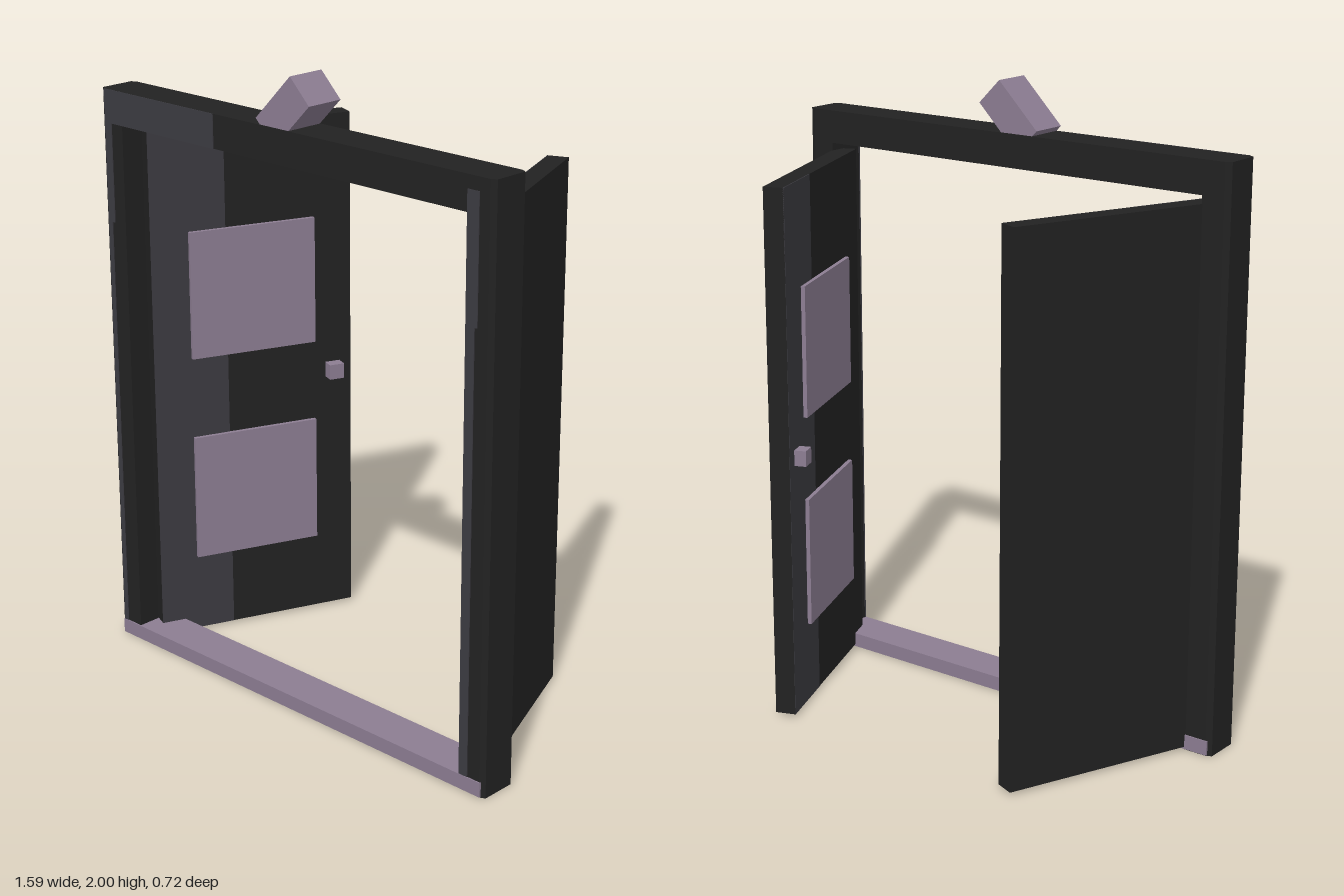
import * as THREE from 'three';

const black = new THREE.MeshStandardMaterial({ color: 0x222222 });
black.name = 'black';
const grey = new THREE.MeshStandardMaterial({ color: 0x3c3b41 });
grey.name = 'charcoal grey';
const mauve = new THREE.MeshStandardMaterial({ color: 0x8c7d92 });
mauve.name = 'dusty mauve';

// Box given by its limits on each axis
function box(parent, name, material, [x0, x1], [y0, y1], [z0, z1]) {
  const mesh = new THREE.Mesh(new THREE.BoxGeometry(x1 - x0, y1 - y0, z1 - z0), material);
  mesh.position.set((x0 + x1) / 2, (y0 + y1) / 2, (z0 + z1) / 2);
  mesh.name = name;
  parent.add(mesh);
  return mesh;
}

// Upright bar with slightly cut outer corners, drawn in plan (x, z)
function planBar(parent, name, x0, x1, y0, y1, cut0, cut1) {
  const z0 = 0.227, z1 = 0.357;
  const s = new THREE.Shape([
    [x0 + cut0, -z0], [x0, -z0 - cut0 / 2], [x0, -z1 + cut0 / 2], [x0 + cut0, -z1],
    [x1 - cut1, -z1], [x1, -z1 + cut1 / 2], [x1, -z0 - cut1 / 2], [x1 - cut1, -z0],
  ].map(([x, y]) => new THREE.Vector2(x, y)));
  const geometry = new THREE.ExtrudeGeometry(s, { depth: y1 - y0, bevelEnabled: false });
  geometry.rotateX(-Math.PI / 2);
  const mesh = new THREE.Mesh(geometry, black);
  mesh.position.y = y0;
  mesh.name = name;
  parent.add(mesh);
}

export function createModel() {
  const model = new THREE.Group();
  model.name = 'doubleDoor';

  // Frame
  const frame = new THREE.Group();
  frame.name = 'frame';
  model.add(frame);
  const c = 0.018;
  planBar(frame, 'rightPost', -0.793, -0.7, 0, 1.735, c, 0);
  planBar(frame, 'leftPost', 0.7, 0.793, 0, 1.735, 0, c);
  planBar(frame, 'lintel', -0.793, 0.793, 1.735, 1.84, c, c);
  box(frame, 'sill', mauve, [-0.78, 0.78], [0.003, 0.05], [0.223, 0.361]);

  // Paler paint on the front of the frame
  const front = [0.356, 0.3595];
  box(frame, 'lintelPaint', grey, [-0.75, -0.29], [1.735, 1.84], front);
  box(frame, 'rightPostPaintUpper', grey, [-0.778, -0.748], [1.42, 1.84], front);
  box(frame, 'rightPostPaintLower', grey, [-0.778, -0.76], [0.05, 1.42], front);
  box(frame, 'leftPostPaintUpper', grey, [0.698, 0.74], [1.42, 1.8], front);
  box(frame, 'leftPostPaintLower', grey, [0.698, 0.73], [0.05, 1.42], front);

  // Tilted block resting on the lintel
  const block = box(frame, 'tiltedBlock', mauve, [-0.1, 0.1], [1.837, 1.943], [0.229, 0.355]);
  block.position.x = -0.003;
  block.rotation.z = Math.PI / 4;

  // Doors: local z runs from the free edge to the hinge, the inner face is at local x = 0
  for (const side of [-1, 1]) {
    const door = new THREE.Group();
    door.name = side < 0 ? 'rightDoor' : 'leftDoor';
    door.position.set(side * 0.405, 0, -0.335);
    door.rotation.y = side * THREE.MathUtils.degToRad(22);
    model.add(door);
    const across = (a, b) => (side < 0 ? [a, b] : [-b, -a]);

    box(door, 'doorLeaf', black, across(-0.065, 0), [0.01, 1.71], [0, 0.68]);
    box(door, 'doorPaint', grey, across(-0.002, 0.001), [0.01, 1.71],
      side < 0 ? [0.43, 0.68] : [0, 0.23]);
    for (const y of [0.27, 0.96]) {
      box(door, 'raisedPanel', mauve, across(-0.005, 0.014), [y, y + 0.42], [0.13, 0.555]);
    }
    box(door, 'handle', mauve, across(-0.005, 0.039), [0.83, 0.88], [0.04, 0.09]);
  }
  return model;
}
